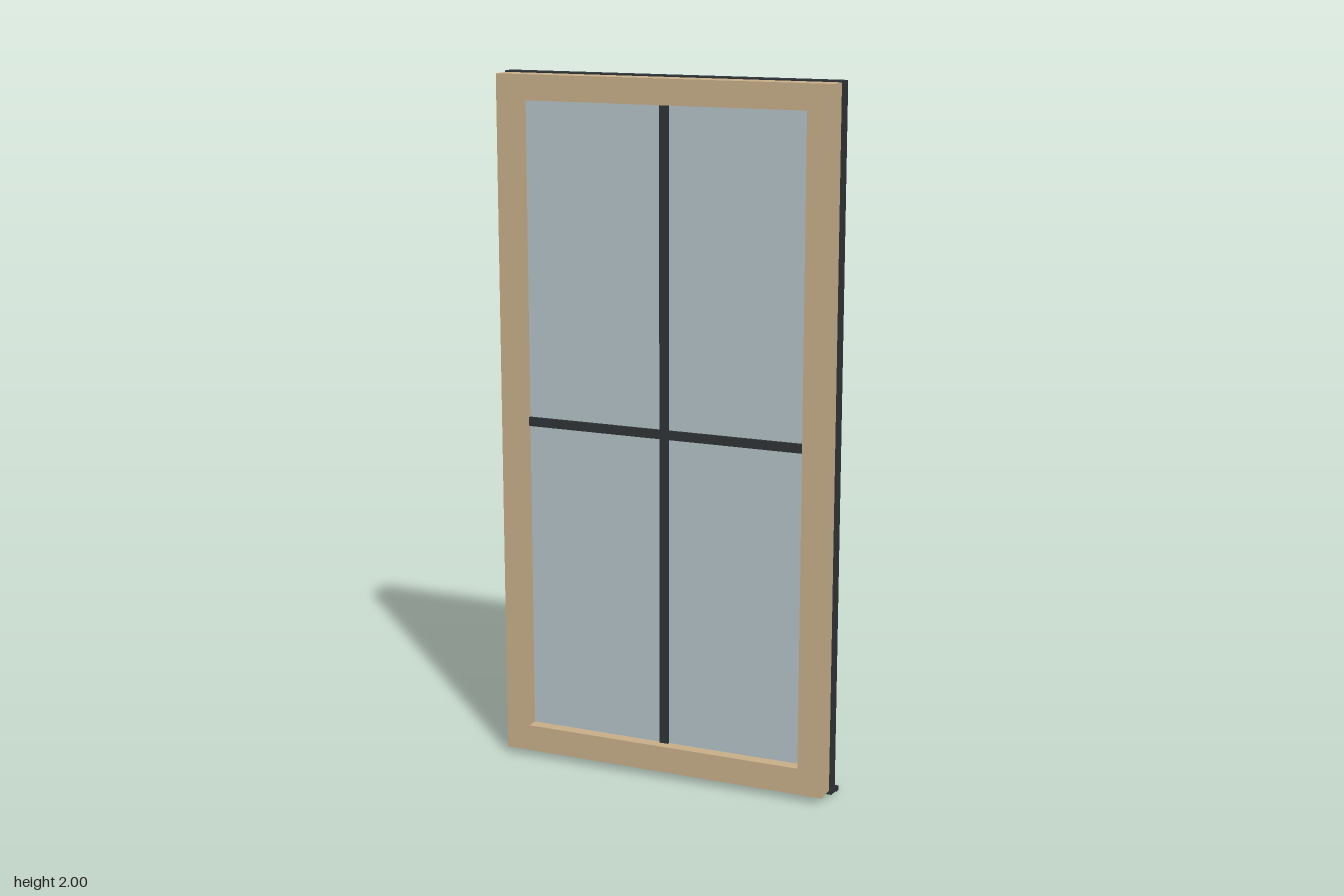
import * as THREE from 'three';

const WOOD = new THREE.MeshStandardMaterial({ color: 0xc8ae88 });
const DARK = new THREE.MeshStandardMaterial({ color: 0x2f3437 });
const GLASS = new THREE.MeshStandardMaterial({ color: 0xb4c2c9 });

// Box given by its minimum and maximum corners
function box(name, mat, [x0, y0, z0], [x1, y1, z1]) {
  const mesh = new THREE.Mesh(new THREE.BoxGeometry(x1 - x0, y1 - y0, z1 - z0), mat);
  mesh.position.set((x0 + x1) / 2, (y0 + y1) / 2, (z0 + z1) / 2);
  mesh.name = name;
  return mesh;
}

// Rectangular ring: outer and inner are [half width, bottom, top]
function ring(name, mat, outer, inner, z0, z1) {
  const corners = ([w, b, t]) => [[-w, b], [w, b], [w, t], [-w, t]].map(p => new THREE.Vector2(...p));
  const shape = new THREE.Shape(corners(outer));
  shape.holes.push(new THREE.Path(corners(inner).reverse()));
  const geo = new THREE.ExtrudeGeometry(shape, { depth: z1 - z0, bevelEnabled: false });
  const mesh = new THREE.Mesh(geo, mat);
  mesh.position.z = z0;
  mesh.name = name;
  return mesh;
}

export function createModel() {
  const model = new THREE.Group();
  model.name = 'window';

  // Interior timber frame
  model.add(ring('woodFrame', WOOD, [0.493, 0.02, 1.996], [0.42, 0.097, 1.925], 0, 0.062));

  // Exterior cladding: outer lip with a recessed inner step
  model.add(ring('claddingLip', DARK, [0.497, 0.012, 2], [0.467, 0.045, 1.97], -0.038, 0));
  model.add(ring('claddingStep', DARK, [0.467, 0.045, 1.97], [0.443, 0.075, 1.946], -0.028, 0));

  // Glazing
  model.add(box('glass', GLASS, [-0.45, 0.07, -0.015], [0.45, 1.95, -0.001]));
  model.add(box('innerGlass', GLASS, [-0.42, 0.097, -0.001], [0.42, 1.925, 0.027]));

  // Glazing bars on both faces
  for (const [side, w, b, t, z0, z1] of [
    ['inner', 0.42, 0.097, 1.925, 0.02, 0.035],
    ['outer', 0.443, 0.075, 1.946, -0.026, -0.01],
  ]) {
    model.add(box(side + 'VerticalBar', DARK, [-0.013, b, z0], [0.013, t, z1]));
    model.add(box(side + 'HorizontalBar', DARK, [-w, 0.998, z0], [w, 1.024, z1]));
  }

  // Sloping sill with a drip edge, swept along x
  const profile = [[0, 0.008], [0.045, 0.004], [0.045, 0], [0.062, 0], [0.062, 0.013], [0.038, 0.02], [0, 0.024]];
  const sillGeo = new THREE.ExtrudeGeometry(
    new THREE.Shape(profile.map(p => new THREE.Vector2(...p))), { depth: 1, bevelEnabled: false });
  const sill = new THREE.Mesh(sillGeo, DARK);
  sill.rotation.y = Math.PI / 2;
  sill.position.x = -0.5;
  sill.name = 'sill';
  model.add(sill);

  return model;
}
